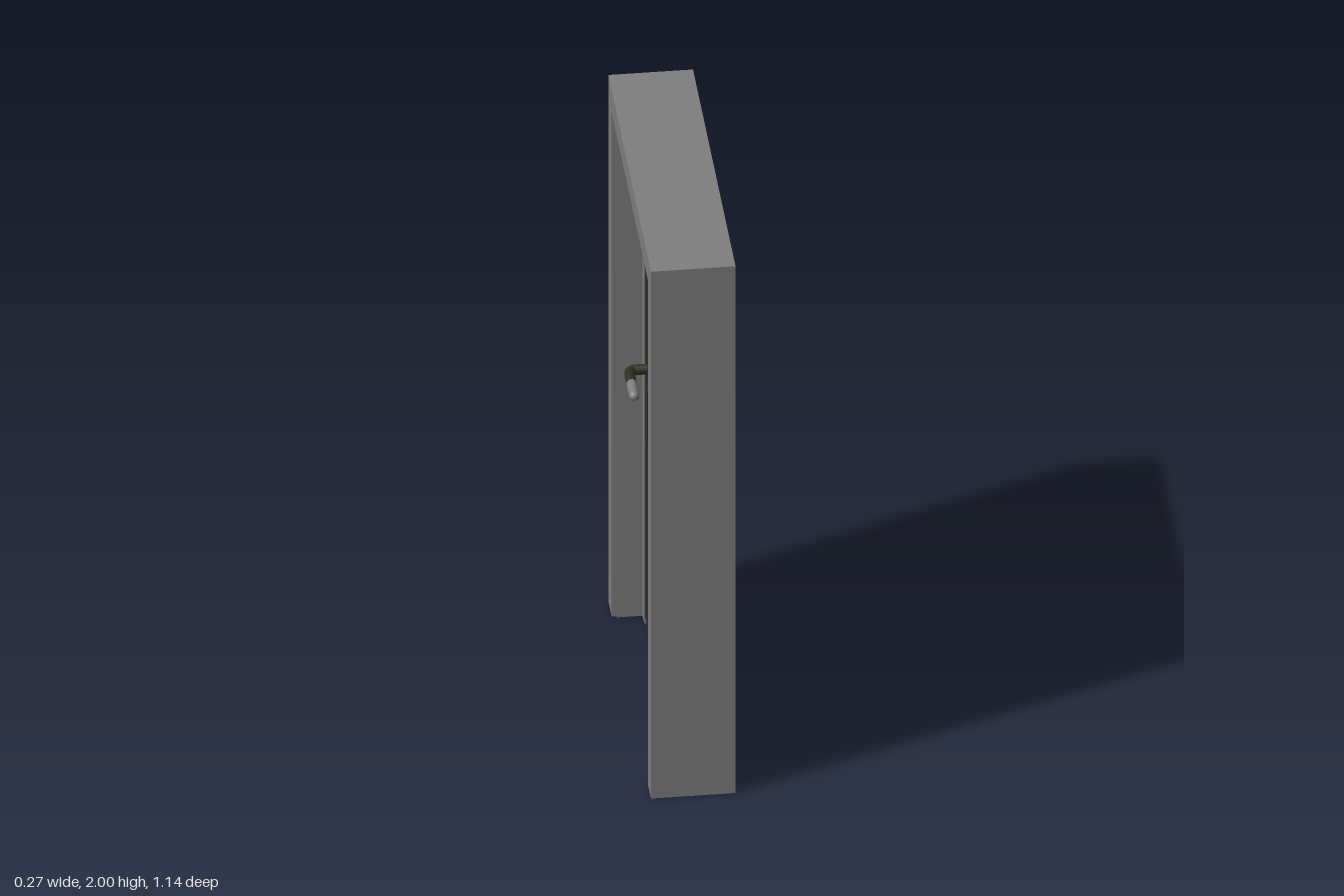
import * as THREE from 'three';

const grey = new THREE.MeshStandardMaterial({ color: 0x7e7e7e });
grey.name = 'frame grey';
const dark = new THREE.MeshStandardMaterial({ color: 0x302f25 });
dark.name = 'door dark olive';

export function createModel() {
  const root = new THREE.Group();
  root.name = 'doorway';

  const add = (name, geometry, material, x = 0, y = 0, z = 0, parent = root) => {
    const mesh = new THREE.Mesh(geometry, material);
    mesh.name = name;
    mesh.position.set(x, y, z);
    parent.add(mesh);
    return mesh;
  };

  // Extrude a z/y outline through the wall, centred on x = 0
  const slab = (shape, depth) => {
    const g = new THREE.ExtrudeGeometry(shape, { depth, bevelEnabled: false });
    g.translate(0, 0, -depth / 2);
    g.rotateY(Math.PI / 2);
    return g;
  };
  const outline = (points) => new THREE.Shape(points.map(([a, b]) => new THREE.Vector2(a, b)));

  // Upside-down U with outer and inner half-widths and heights
  const arch = (wo, ho, wi, hi, depth) => slab(outline([
    [-wo, 0], [-wi, 0], [-wi, hi], [wi, hi], [wi, 0], [wo, 0], [wo, ho], [-wo, ho],
  ]), depth);

  // Wall surround, lining and inner frame
  add('wallSurround', arch(0.571, 2, 0.485, 1.915, 0.27), grey);
  add('frameLining', arch(0.485, 1.915, 0.478, 1.906, 0.24), grey);
  add('innerFrame', arch(0.478, 1.906, 0.433, 1.862, 0.075), grey);

  // Door leaf with a shallow recessed panel on both sides
  const door = new THREE.Group();
  door.name = 'door';
  root.add(door);
  const leaf = outline([[-0.426, 0.027], [0.43, 0.027], [0.43, 1.858], [-0.426, 1.858]]);
  leaf.holes.push(new THREE.Path([[-0.302, 1.41], [-0.302, 1.705], [0.302, 1.705], [0.302, 1.41]]
    .map(([a, b]) => new THREE.Vector2(a, b))));
  add('doorLeaf', slab(leaf, 0.07), dark, 0, 0, 0, door);
  add('recessedPanel', new THREE.BoxGeometry(0.06, 0.295, 0.604), dark, 0, 1.5575, 0, door);

  // Lever handles and lock plates on both sides
  for (const side of [1, -1]) {
    const name = side > 0 ? 'outer' : 'inner';
    add(name + 'LockPlate', new THREE.BoxGeometry(0.008, 0.195, 0.06), dark, side * 0.037, 0.85, -0.352, door);

    const path = new THREE.CurvePath();
    const v = (x, z) => new THREE.Vector3(side * x, 1.002, z);
    path.add(new THREE.LineCurve3(v(0.03, -0.378), v(0.072, -0.378)));
    path.add(new THREE.QuadraticBezierCurve3(v(0.072, -0.378), v(0.093, -0.378), v(0.093, -0.35)));
    path.add(new THREE.LineCurve3(v(0.093, -0.35), v(0.093, -0.3)));
    add(name + 'HandleNeck', new THREE.TubeGeometry(path, 24, 0.017, 12), dark, 0, 0, 0, door);

    const grip = new THREE.CapsuleGeometry(0.017, 0.07, 4, 12);
    grip.rotateX(Math.PI / 2);
    add(name + 'HandleGrip', grip, side > 0 ? dark : grey, side * 0.093, 1.002, -0.266, door);
  }

  // Two hinges: upper half on the door, lower half on the frame
  for (const y of [1.335, 0.325]) {
    const hinge = new THREE.Group();
    hinge.name = 'hinge';
    hinge.position.set(-0.05, y, 0.43);
    root.add(hinge);
    add('doorKnuckle', new THREE.CylinderGeometry(0.013, 0.013, 0.104, 12), dark, 0, 0.053, 0, hinge);
    add('frameKnuckle', new THREE.CylinderGeometry(0.013, 0.013, 0.104, 12), grey, 0, -0.053, 0, hinge);
    add('doorHingeArm', new THREE.BoxGeometry(0.03, 0.09, 0.008), dark, 0.015, 0.053, -0.004, hinge);
    add('frameHingeArm', new THREE.BoxGeometry(0.03, 0.09, 0.008), grey, 0.015, -0.053, 0.006, hinge);
  }

  return root;
}
